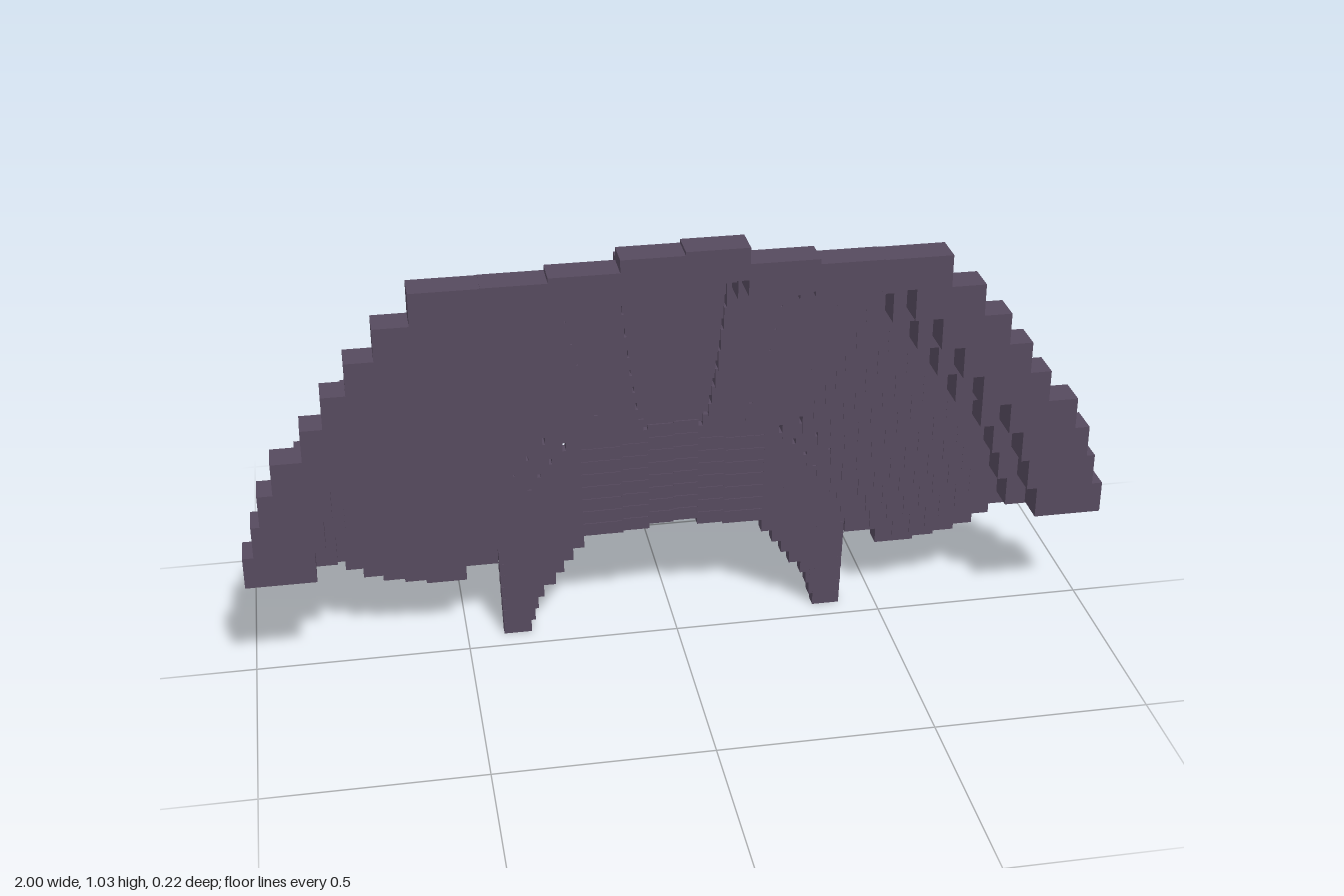
import * as THREE from 'three';

const material = new THREE.MeshStandardMaterial({ color: 0x564a5e, flatShading: true });

// Half of a full-size arch: [outer x, inner x, base height] for each block
const BLOCK_H = 0.0765;
const sideOuter = [1, 0.975, 0.955, 0.92, 0.85, 0.8, 0.745, 0.68, 0.6];
const archBlocks = [
  ...sideOuter.map((x, i) => [x, x - 0.16, i * BLOCK_H]),
  [0.445, 0.29, 0.613],
  [0.3, 0.14, 0.625],
];

// One stepped arch, scaled as a whole; its crown may be pushed back a little
function makeArch(name, scale, bottom, z, crownShift) {
  const arch = new THREE.Group();
  arch.name = name;
  const depth = 0.075;
  const addBlock = (part, x0, x1, y, dz) => {
    const mesh = new THREE.Mesh(new THREE.BoxGeometry(Math.abs(x1 - x0), BLOCK_H, depth), material);
    mesh.position.set((x0 + x1) / 2, y + BLOCK_H / 2, dz);
    mesh.name = part;
    arch.add(mesh);
  };
  for (const side of [-1, 1]) {
    for (const [outer, inner, y] of archBlocks) addBlock('archBlock', side * inner, side * outer, y, 0);
    addBlock('crownBlock', 0, side * 0.143, side > 0 ? 0.6635 : 0.655, crownShift);
  }
  arch.scale.setScalar(scale);
  arch.position.set(0, bottom, z);
  return arch;
}

export function createModel() {
  const model = new THREE.Group();
  model.name = 'steppedFan';

  // Three large rims, stepping backwards and inwards
  model.add(makeArch('frontRim', 1, 0.29, 0.0725, 0));
  model.add(makeArch('middleRim', 0.943, 0.284, -0.003, -0.014));
  model.add(makeArch('backRim', 0.86, 0.283, -0.068, -0.011));

  // Shrinking arches that fill the fan: [scale, bottom]
  const fill = [
    [0.82, 0.25], [0.775, 0.225], [0.735, 0.2], [0.69, 0.185],
    [0.64, 0.175], [0.59, 0.165], [0.5, 0.2],
  ];
  fill.forEach(([s, b], i) => model.add(makeArch('fanArch' + (i + 1), s, b, -0.067, -0.011)));

  // Thin inner arches stacked upwards, the lowest one forming the legs
  for (let i = 0; i < 8; i++) {
    model.add(makeArch(i ? 'innerArch' + i : 'legArch', 0.412 + i * 0.001, i * 0.0325, -0.066, 0));
  }
  return model;
}
